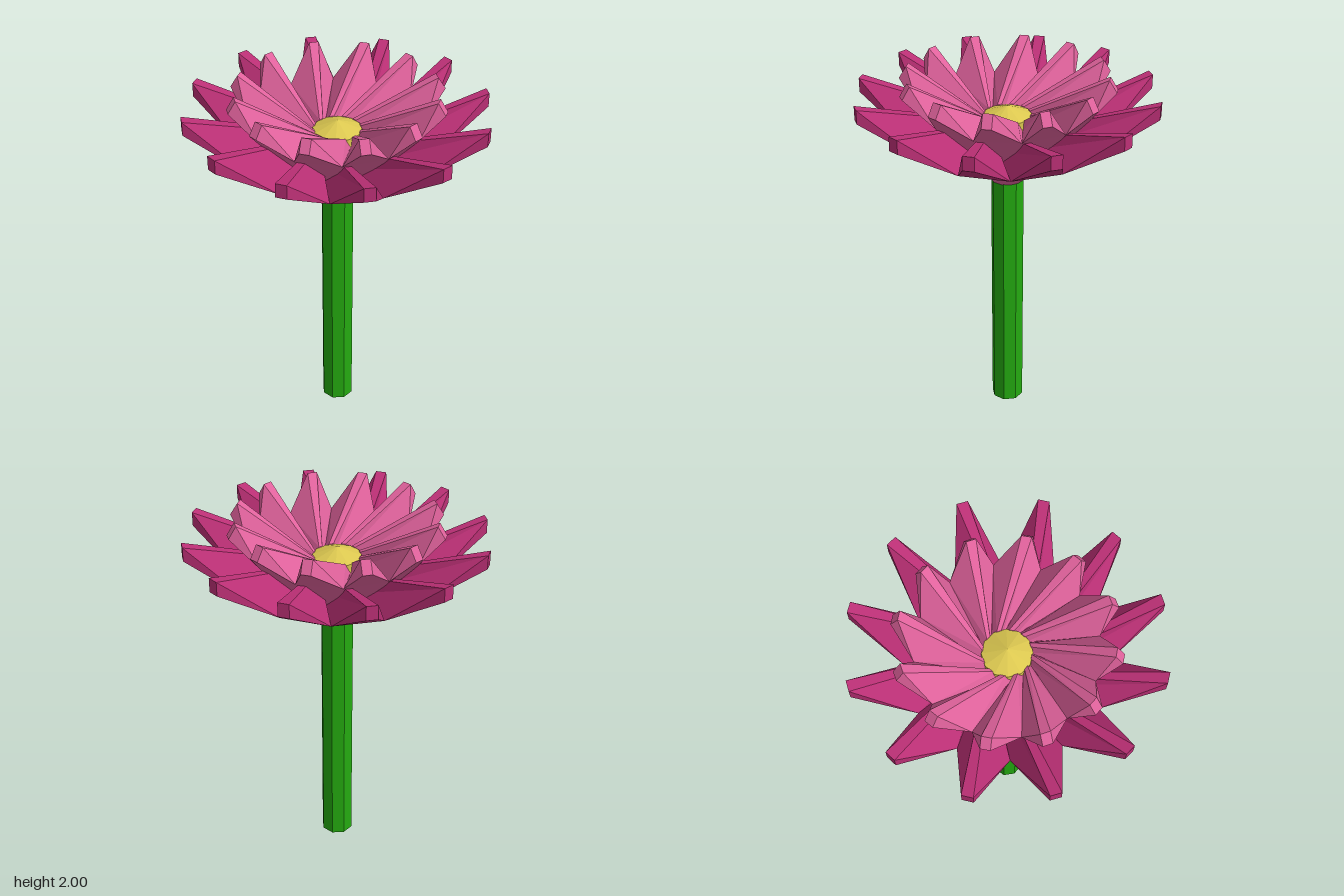
import * as THREE from 'three';

const PETALS = 12;
const STEP = (Math.PI * 2) / PETALS;
const rad = (d) => (d * Math.PI) / 180;

const material = (color) =>
  new THREE.MeshStandardMaterial({ color, flatShading: true, side: THREE.DoubleSide });

// point at an angle (from +x towards +z), radius and height, with an optional sideways shift
function polar(a, r, y, side = 0) {
  return [r * Math.cos(a) - side * Math.sin(a), y, r * Math.sin(a) + side * Math.cos(a)];
}

// ring of ridged petals joined at their valleys; every petal is the same cross-section set
function petalRing(name, color, p) {
  const pos = [];
  const tri = (a, b, c) => pos.push(...a, ...b, ...c);
  const quad = (a, b, c, d) => { tri(a, b, c); tri(a, c, d); };

  for (let i = 0; i < PETALS; i++) {
    const t = rad(p.start) + i * STEP;
    const cup = t + rad(p.lean);
    const root = t + rad(p.twist);
    const gully = root + rad(p.floorLean);
    // [minus side, plus side] pairs
    const pair = (f) => [f(-1), f(1)];
    const base = pair((s) => polar(cup + (s * STEP) / 2, ...p.base));
    const valley = pair((s) => polar(cup + (s * STEP) / 2, ...p.valley));
    const low = pair((s) => polar(t, ...p.tipLow, s * p.tipHalf));
    const high = pair((s) => polar(t, ...p.tipHigh, s * p.tipHalf));
    const ridge = pair((s) => polar(root, ...p.ridge, s * p.ridgeHalf));
    const floor = pair((s) => polar(gully + (s * STEP) / 2, ...p.floor));

    quad(base[0], valley[0], valley[1], base[1]);   // underside of the cup
    quad(valley[0], low[0], low[1], valley[1]);     // underside of the petal
    quad(low[0], high[0], high[1], low[1]);         // blunt tip
    quad(ridge[0], ridge[1], high[1], high[0]);     // top of the ridge
    quad(high[1], ridge[1], floor[1], valley[1]);   // one flank gentle, the other steep
    quad(valley[0], floor[0], ridge[0], high[0]);
    tri(low[1], high[1], valley[1]);
    tri(low[0], valley[0], high[0]);
    quad(floor[0], floor[1], ridge[1], ridge[0]);   // end facing the centre
  }
  const geometry = new THREE.BufferGeometry();
  geometry.setAttribute('position', new THREE.Float32BufferAttribute(pos, 3));
  geometry.computeVertexNormals();
  const mesh = new THREE.Mesh(geometry, material(color));
  mesh.name = name;
  return mesh;
}

export function createModel() {
  const flower = new THREE.Group();
  flower.name = 'flower';

  // stem
  const stem = new THREE.Mesh(new THREE.CylinderGeometry(0.088, 0.088, 1.41, 8), material(0x24aa10));
  stem.name = 'stem';
  stem.position.y = 0.705;
  flower.add(stem);

  // wide outer petals, swirled one way; profile entries are [radius, height]
  flower.add(petalRing('outerPetals', 0xbc3076, {
    start: 15, lean: 0, twist: 30, floorLean: 8,
    base: [0.14, 1.455], valley: [0.51, 1.64],
    tipLow: [0.785, 1.825], tipHigh: [0.785, 1.9], tipHalf: 0.029,
    ridge: [0.13, 1.72], ridgeHalf: 0.012, floor: [0.12, 1.6],
  }));

  // smaller, steeper inner petals, swirled the other way
  flower.add(petalRing('innerPetals', 0xe0629c, {
    start: 12, lean: -4, twist: -30, floorLean: -8,
    base: [0.088, 1.4], valley: [0.455, 1.815],
    tipLow: [0.56, 1.935], tipHigh: [0.52, 2.0], tipHalf: 0.025,
    ridge: [0.12, 1.77], ridgeHalf: 0.012, floor: [0.115, 1.71],
  }));

  // shallow faceted centre
  const profile = [[0, 1.66], [0.125, 1.66], [0.127, 1.765], [0, 1.815]]
    .map(([r, y]) => new THREE.Vector2(r, y));
  const centre = new THREE.Mesh(new THREE.LatheGeometry(profile, 12), material(0xdcc850));
  centre.name = 'centre';
  flower.add(centre);

  return flower;
}
